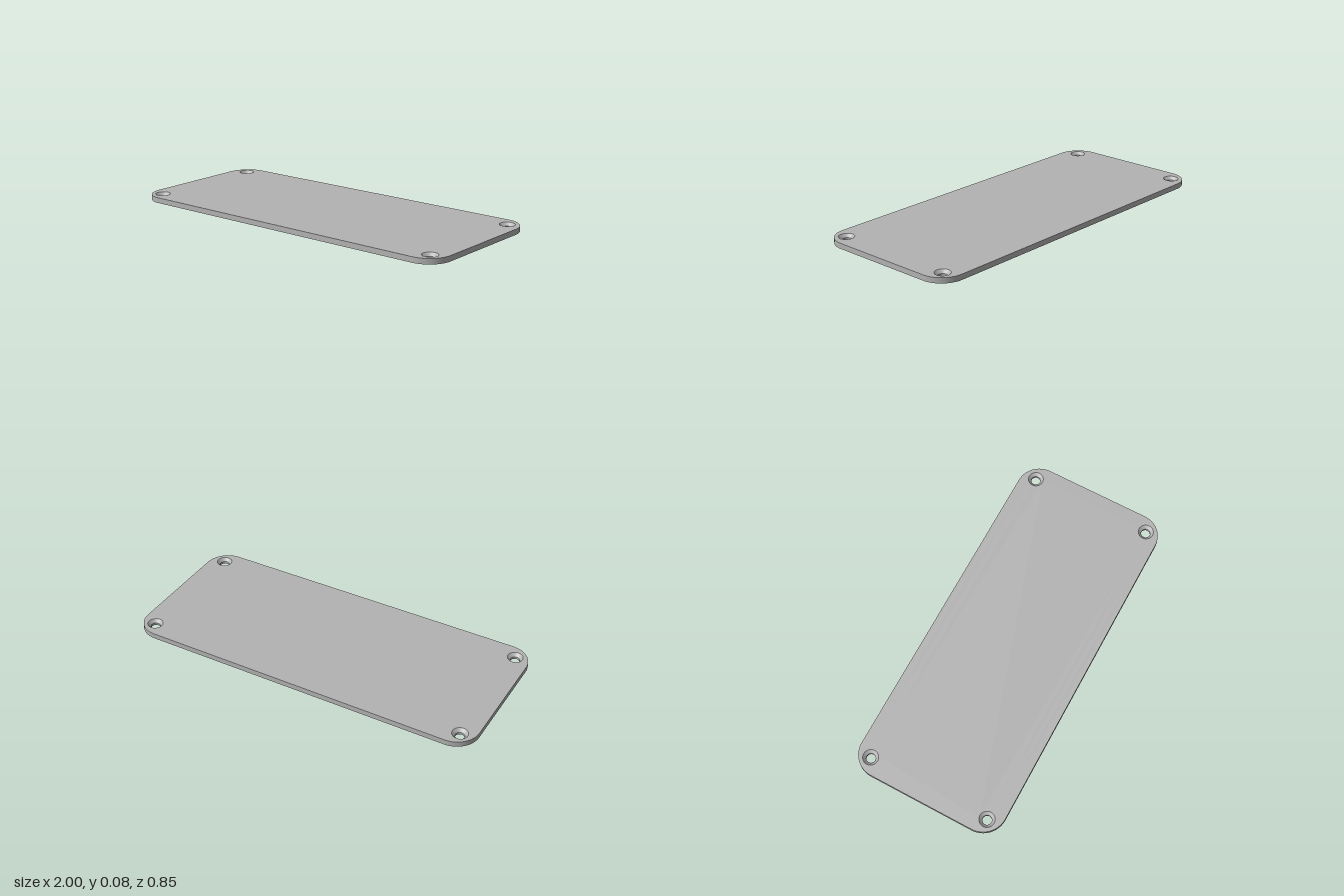
import * as THREE from 'three';

const HALF_X = 1, HALF_Z = 0.427, CORNER = 0.13;
const BOTTOM = 0.048, TOP = 0.078;
const HOLE_X = 0.917, HOLE_Z = 0.345, SINK_R = 0.042, BORE_R = 0.025;
const SINK_DEPTH = 0.017;

// Rounded rectangle outline: each entry holds a point and its outward direction
function outline(segments = 16) {
  const result = [];
  const signs = [[1, 1], [-1, 1], [-1, -1], [1, -1]];
  signs.forEach(([sx, sz], c) => {
    for (let i = 0; i <= segments; i++) {
      const a = (c + i / segments) * Math.PI / 2;
      const nx = Math.cos(a), nz = Math.sin(a);
      result.push({
        x: sx * (HALF_X - CORNER) + CORNER * nx,
        z: sz * (HALF_Z - CORNER) + CORNER * nz,
        nx, nz,
      });
    }
  });
  return result;
}

// Flat cover with four round holes, facing up or down
function coverGeometry(points, holeRadius, y, up) {
  const shape = new THREE.Shape(points.map((p) => new THREE.Vector2(p.x, p.z)));
  for (const sx of [-1, 1]) for (const sz of [-1, 1]) {
    const hole = new THREE.Path();
    hole.absarc(sx * HOLE_X, sz * HOLE_Z, holeRadius, 0, Math.PI * 2, true);
    shape.holes.push(hole);
  }
  const geometry = new THREE.ShapeGeometry(shape, 20);
  geometry.rotateX(up ? -Math.PI / 2 : Math.PI / 2);
  return geometry.translate(0, y, 0);
}

// Smooth strip around the plate edge
function rimGeometry(points) {
  const position = [], normal = [], index = [];
  points.forEach((p, i) => {
    position.push(p.x, BOTTOM, p.z, p.x, TOP, p.z);
    normal.push(p.nx, 0, p.nz, p.nx, 0, p.nz);
    const a = 2 * i, b = 2 * ((i + 1) % points.length);
    index.push(a, a + 1, b, b, a + 1, b + 1);
  });
  const geometry = new THREE.BufferGeometry();
  geometry.setAttribute('position', new THREE.Float32BufferAttribute(position, 3));
  geometry.setAttribute('normal', new THREE.Float32BufferAttribute(normal, 3));
  geometry.setIndex(index);
  return geometry;
}

export function createModel() {
  const model = new THREE.Group();
  model.name = 'coverPlate';
  const grey = new THREE.MeshStandardMaterial({ color: 0xb3b3b3 });
  grey.name = 'grey';

  const add = (name, geometry, x = 0, y = 0, z = 0) => {
    const mesh = new THREE.Mesh(geometry, grey);
    mesh.name = name;
    mesh.position.set(x, y, z);
    model.add(mesh);
  };

  // Plate
  const points = outline();
  add('plateTop', coverGeometry(points, SINK_R, TOP, true));
  add('plateUnderside', coverGeometry(points, BORE_R, BOTTOM, false));
  add('plateRim', rimGeometry(points));

  // Countersunk screw holes, profiles run downwards so the walls face inwards
  const neck = TOP - SINK_DEPTH;
  const wall = (r0, y0, r1, y1) => new THREE.LatheGeometry(
    [new THREE.Vector2(r0, y0), new THREE.Vector2(r1, y1)], 40);
  const sink = wall(SINK_R, TOP, BORE_R, neck);
  const bore = wall(BORE_R, neck, BORE_R, BOTTOM);
  for (const sx of [-1, 1]) for (const sz of [-1, 1]) {
    add('countersink', sink, sx * HOLE_X, 0, sz * HOLE_Z);
    add('screwBore', bore, sx * HOLE_X, 0, sz * HOLE_Z);
  }

  // Blocks and ribs hanging below the plate
  const hang = (name, x0, x1, low, depth) => add(
    name, new THREE.BoxGeometry(x1 - x0, BOTTOM - low, depth),
    (x0 + x1) / 2, (BOTTOM + low) / 2, 0);
  hang('mainBlock', 0.16, 0.35, 0, 0.19);
  hang('thinPad', 0.705, 0.857, 0.037, 0.154);
  hang('middleRib', -0.118, -0.081, 0.021, 0.16);
  hang('endRib', -0.977, -0.94, 0.021, 0.16);

  return model;
}
